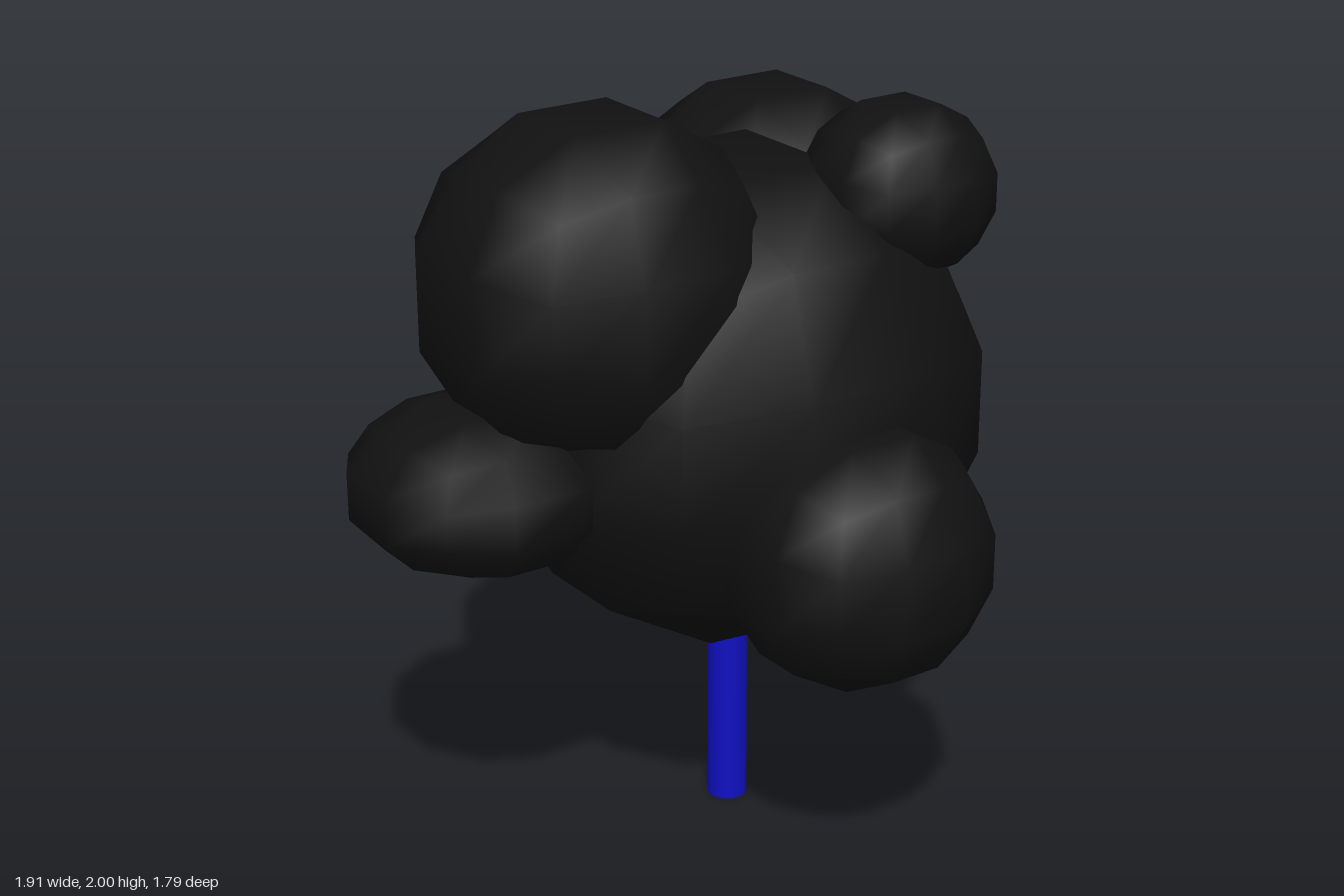
import * as THREE from 'three';
import { mergeVertices } from 'three/addons/utils/BufferGeometryUtils.js';

// Ball made from a 3x3x3 box pushed out to a sphere, scaled to unit half extents
function createBallGeometry() {
  const box = new THREE.BoxGeometry(2, 2, 2, 3, 3, 3);
  box.deleteAttribute('uv');
  box.deleteAttribute('normal');
  const geometry = mergeVertices(box);
  const inner = 0.3;
  const reach = 1 / Math.hypot(1, inner, inner);
  const warp = (c) => Math.sign(c) * (Math.abs(c) > 0.9 ? 1 : inner);
  const pos = geometry.attributes.position;
  const v = new THREE.Vector3();
  for (let i = 0; i < pos.count; i++) {
    v.fromBufferAttribute(pos, i);
    v.set(warp(v.x), warp(v.y), warp(v.z)).normalize().divideScalar(reach);
    pos.setXYZ(i, v.x, v.y, v.z);
  }
  geometry.computeVertexNormals();
  return geometry;
}

export function createModel() {
  const model = new THREE.Group();
  const leafMaterial = new THREE.MeshStandardMaterial({ color: 0x111111 });
  const trunkMaterial = new THREE.MeshStandardMaterial({ color: 0x1010c0 });

  // Trunk
  const trunk = new THREE.Mesh(new THREE.CylinderGeometry(0.055, 0.055, 0.8, 16), trunkMaterial);
  trunk.name = 'trunk';
  trunk.position.set(0.085, 0.4, -0.015);
  model.add(trunk);

  // Foliage: name, centre, half extents
  const ball = createBallGeometry();
  const clumps = [
    ['mainFoliage', [0.085, 1.207, -0.018], [0.622, 0.622, 0.62]],
    ['upperRightFoliage', [-0.327, 1.572, -0.018], [0.428, 0.428, 0.43]],
    ['backLeftFoliage', [0.56, 1.445, -0.502], [0.395, 0.395, 0.395]],
    ['frontFoliage', [0.06, 0.958, 0.567], [0.323, 0.323, 0.323]],
    ['lowerRightFoliage', [-0.63, 1.097, -0.075], [0.33, 0.208, 0.325]],
    ['topLeftFoliage', [0.44, 1.75, 0.227], [0.234, 0.222, 0.236]],
  ];
  for (const [name, centre, size] of clumps) {
    const clump = new THREE.Mesh(ball, leafMaterial);
    clump.name = name;
    clump.position.set(...centre);
    clump.scale.set(...size);
    model.add(clump);
  }
  return model;
}
